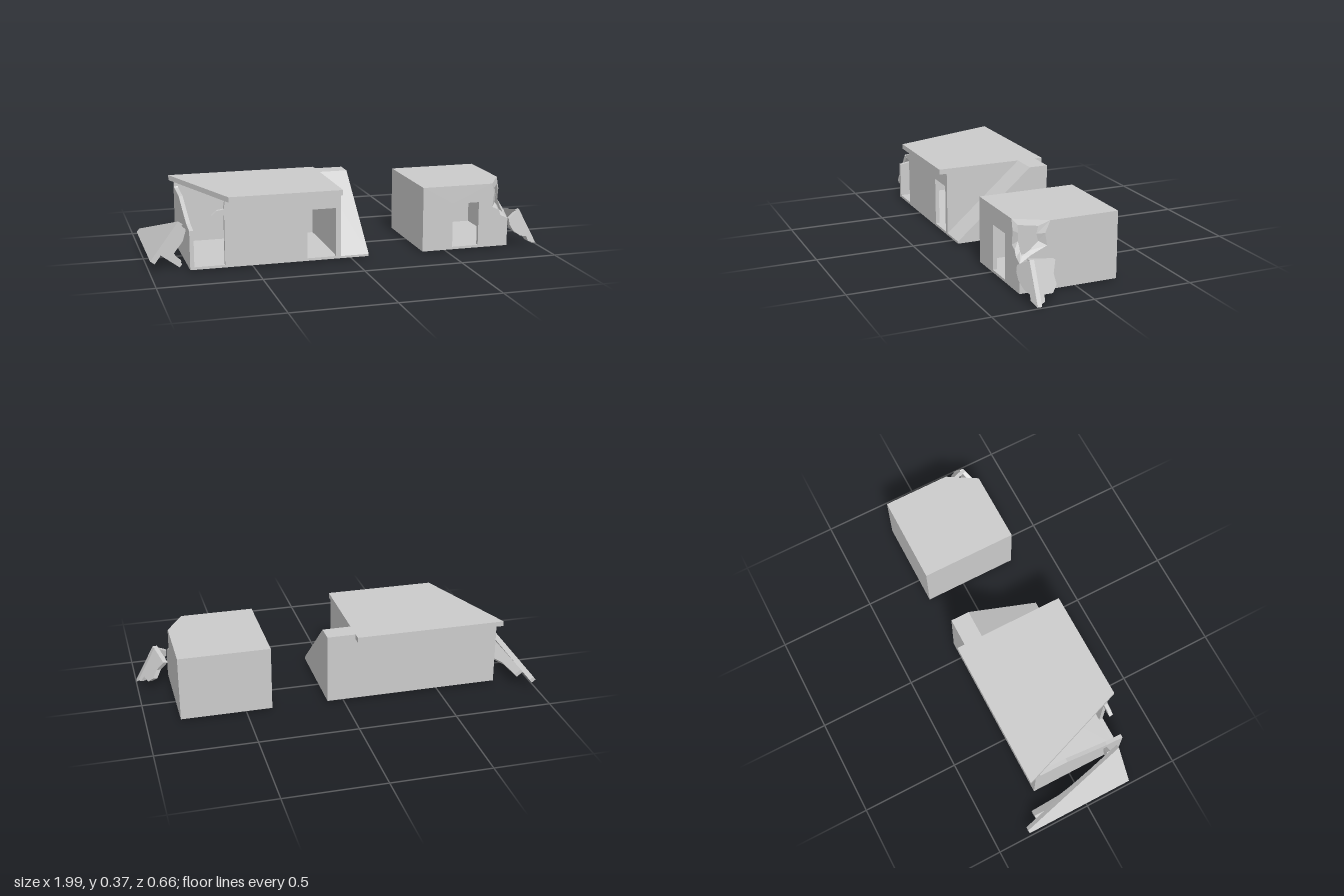
import * as THREE from 'three';

const material = new THREE.MeshStandardMaterial({ color: 0xcccccc, flatShading: true, side: THREE.DoubleSide });

function add(group, name, geometry) {
  const mesh = new THREE.Mesh(geometry, material);
  mesh.name = name;
  group.add(mesh);
}

// Box given by its two opposite corners
function block(group, name, a, b) {
  const g = new THREE.BoxGeometry(b[0] - a[0], b[1] - a[1], b[2] - a[2]);
  g.translate((a[0] + b[0]) / 2, (a[1] + b[1]) / 2, (a[2] + b[2]) / 2);
  add(group, name, g);
}

// Flat outline (extruded when depth > 0), laid into space by a rule (u, v, w) -> [x, y, z]
function panel(group, name, outline, depth, rule, hole) {
  const toVectors = (pts) => pts.map(([u, v]) => new THREE.Vector2(u, v));
  const shape = new THREE.Shape(toVectors(outline));
  if (hole) shape.holes.push(new THREE.Path(toVectors(hole)));
  let g = depth > 0
    ? new THREE.ExtrudeGeometry(shape, { depth, bevelEnabled: false })
    : new THREE.ShapeGeometry(shape);
  if (g.index) g = g.toNonIndexed();
  const p = g.attributes.position;
  for (let i = 0; i < p.count; i++) p.setXYZ(i, ...rule(p.getX(i), p.getY(i), p.getZ(i)));
  g.computeVertexNormals();
  add(group, name, g);
}

// Strip of quads joining two matching lines of points
function strip(group, name, a, b) {
  const v = [];
  for (let i = 0; i < a.length - 1; i++) {
    v.push(...a[i], ...b[i], ...a[i + 1], ...a[i + 1], ...b[i], ...b[i + 1]);
  }
  const g = new THREE.BufferGeometry();
  g.setAttribute('position', new THREE.Float32BufferAttribute(v, 3));
  g.computeVertexNormals();
  add(group, name, g);
}

const rect = (x0, x1, y0, y1) => [[x0, y0], [x1, y0], [x1, y1], [x0, y1]];

function longHouse() {
  const g = new THREE.Group();
  g.name = 'longHouse';
  block(g, 'floor', [-0.81, 0.007, -0.205], [-0.06, 0.02, 0.29]);
  block(g, 'backWall', [-0.81, 0.007, -0.205], [-0.06, 0.337, -0.185]);
  block(g, 'sideWall', [-0.08, 0.007, -0.205], [-0.06, 0.337, 0.29]);
  // Front wall with doorway and a collapsed bay
  panel(g, 'frontWall', [
    [-0.81, 0.007], [-0.06, 0.007], [-0.06, 0.337], [-0.635, 0.337], [-0.642, 0.295], [-0.675, 0.29],
    [-0.7, 0.268], [-0.64, 0.265], [-0.64, 0.02], [-0.79, 0.02], [-0.79, 0.2], [-0.81, 0.2],
  ], 0.02, (x, y, w) => [x, y, 0.29 - w], rect(-0.23, -0.085, 0.02, 0.265));
  // End wall broken along its top
  panel(g, 'brokenEndWall', [
    [-0.205, 0.007], [0.29, 0.007], [0.29, 0.2], [0.2, 0.215], [0.1, 0.25],
    [-0.03, 0.3], [-0.18, 0.31], [-0.205, 0.337],
  ], 0.02, (z, y, w) => [-0.81 + w, y, z]);
  // Overhanging roof, sheared off diagonally
  panel(g, 'roof', [[-0.83, -0.245], [-0.06, -0.245], [-0.06, 0.33], [-0.625, 0.33]],
    0.026, (x, z, w) => [x, 0.337 + w, z]);
  // Ramp up to the roof
  panel(g, 'ramp', [[0.29, 0.007], [0.29, 0.018], [-0.108, 0.363], [-0.205, 0.363], [-0.205, 0.007]],
    0.145, (z, y, w) => [-0.06 + w, y, z]);
  return g;
}

// Fallen roof corner: s runs up the slab, d hangs square below it
function fallenRoof() {
  const g = new THREE.Group();
  g.name = 'fallenRoofCorner';
  const place = (s, d, z) => [-0.973 + 0.597 * s + 0.803 * d, 0.035 + 0.803 * s - 0.597 * d, z];
  panel(g, 'fallenSlab', [[0, -0.33], [0.022, -0.33], [0.235, 0.24], [0, 0.24]],
    0.026, (s, z, w) => place(s, -w, z));
  panel(g, 'fallenEndWall', [
    [0, -0.27], [0.04, -0.27], [0.05, -0.11], [0.07, -0.03], [0.105, 0.08], [0.123, 0.2], [0, 0.2],
  ], 0.02, (d, z, w) => place(0.045 + w, d, z));
  panel(g, 'fallenFrontWall', [
    [0.045, 0], [0.22, 0], [0.215, 0.04], [0.16, 0.06], [0.08, 0.058], [0.076, 0.11], [0.055, 0.123], [0.045, 0.12],
  ], 0.02, (s, d, w) => place(s, d, 0.2 - w));
  return g;
}

function smallHouse() {
  const g = new THREE.Group();
  g.name = 'smallHouse';
  block(g, 'floor', [0.37, 0.007, -0.205], [0.83, 0.02, 0.29]);
  block(g, 'backWall', [0.37, 0.007, -0.205], [0.83, 0.337, -0.185]);
  block(g, 'sideWall', [0.37, 0.007, -0.205], [0.39, 0.337, 0.29]);
  const door = rect(0.53, 0.67, 0.02, 0.245);
  // Outer and inner skins, each with the broken corner's edge on the front (x, y) and side (z, y)
  const skins = [
    {
      name: 'outer', x0: 0.37, x1: 0.83, y0: 0.007, y1: 0.337, z0: -0.205, z1: 0.29,
      front: [[0.74, 0.337], [0.752, 0.285], [0.745, 0.215], [0.775, 0.2], [0.79, 0.17], [0.83, 0.15]],
      side: [[0.29, 0.15], [0.235, 0.185], [0.155, 0.22], [0.165, 0.28], [0.14, 0.337]],
    },
    {
      name: 'inner', x0: 0.39, x1: 0.81, y0: 0.015, y1: 0.311, z0: -0.185, z1: 0.27,
      front: [[0.762, 0.311], [0.768, 0.275], [0.765, 0.235], [0.78, 0.215], [0.79, 0.195], [0.81, 0.18]],
      side: [[0.27, 0.18], [0.235, 0.2], [0.19, 0.24], [0.2, 0.275], [0.19, 0.311]],
    },
  ];
  const edges = skins.map((k) => {
    const { x0, x1, y0, y1, z0, z1, front, side } = k;
    panel(g, k.name + 'FrontWall', [[x0, y1], [x0, y0], [x1, y0], ...[...front].reverse()], 0,
      (x, y) => [x, y, z1], door);
    panel(g, k.name + 'RightWall', [[z0, y1], [z0, y0], [z1, y0], ...side], 0, (z, y) => [x1, y, z]);
    panel(g, k.name + 'Roof', [[x0, z0], [x1, z0], [x1, side[4][0]], [front[0][0], z1], [x0, z1]], 0,
      (x, z) => [x, y1, z]);
    const edge = [...front.map(([x, y]) => [x, y, z1]), ...side.slice(1).map(([z, y]) => [x1, y, z])];
    return [...edge, edge[0]];
  });
  strip(g, 'brokenCornerEdge', edges[0], edges[1]);
  const frame = [...door, door[0]];
  strip(g, 'doorFrame', frame.map(([x, y]) => [x, y, 0.29]), frame.map(([x, y]) => [x, y, 0.27]));
  return g;
}

// Wall corner leaning on the ground beside the small house
function fallenCorner() {
  const g = new THREE.Group();
  g.name = 'fallenWallCorner';
  panel(g, 'fallenSidePiece', [
    [0.275, 0.19], [0.13, 0.16], [0.155, 0.11], [0.15, 0.065], [0.18, 0.037],
    [0.228, 0.043], [0.235, 0.015], [0.28, 0.005],
  ], 0.022, (z, y, w) => [0.9 - 0.52 * (y - 0.19) + 0.35 * (z - 0.275) - w, y, z]);
  panel(g, 'fallenFrontPiece', [
    [0.9, 0.19], [0.832, 0.15], [0.835, 0.12], [0.858, 0.085], [0.9, 0.055], [0.94, 0.045], [0.95, 0.02], [0.998, 0.003],
  ], 0.022, (x, y, w) => [x, y, 0.275 - 0.318 * (x - 0.9) - 0.193 * (y - 0.19) - w]);
  return g;
}

export function createModel() {
  const model = new THREE.Group();
  model.name = 'ruinedHouses';
  model.add(longHouse(), fallenRoof(), smallHouse(), fallenCorner());
  return model;
}
